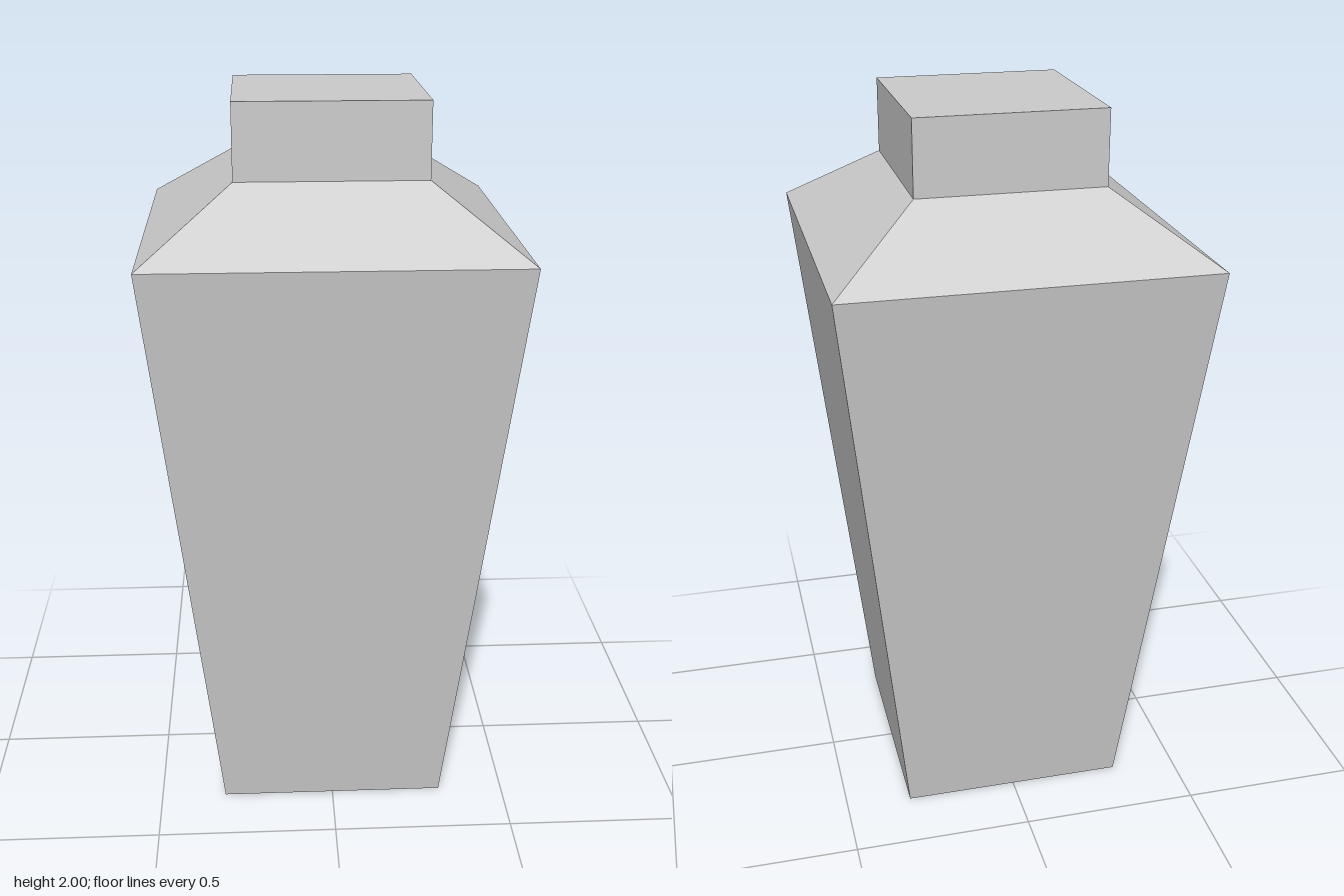
import * as THREE from 'three';

// Rings from base to top: height, half width (x), half depth (z)
const RINGS = [
  [0, 0.315, 0.32],      // base
  [1.63, 0.495, 0.502],  // shoulder edge
  [1.8, 0.252, 0.258],   // foot of the neck
  [2, 0.252, 0.258],     // top of the neck
];

export function createModel() {
  const group = new THREE.Group();
  group.name = 'squareVase';

  // One closed box with three storeys; each row of corners moves to its ring
  const storeys = RINGS.length - 1;
  const box = new THREE.BoxGeometry(2, storeys, 2, 1, storeys, 1);
  const pos = box.attributes.position;
  for (let i = 0; i < pos.count; i++) {
    const [y, halfX, halfZ] = RINGS[Math.round(pos.getY(i) + storeys / 2)];
    pos.setXYZ(i, pos.getX(i) * halfX, y, pos.getZ(i) * halfZ);
  }

  // Split the faces so every edge stays sharp
  const geometry = box.toNonIndexed();
  geometry.computeVertexNormals();

  const material = new THREE.MeshStandardMaterial({ color: 0xcccccc, flatShading: true });
  const body = new THREE.Mesh(geometry, material);
  body.name = 'bodyShoulderAndNeck';
  group.add(body);
  return group;
}
